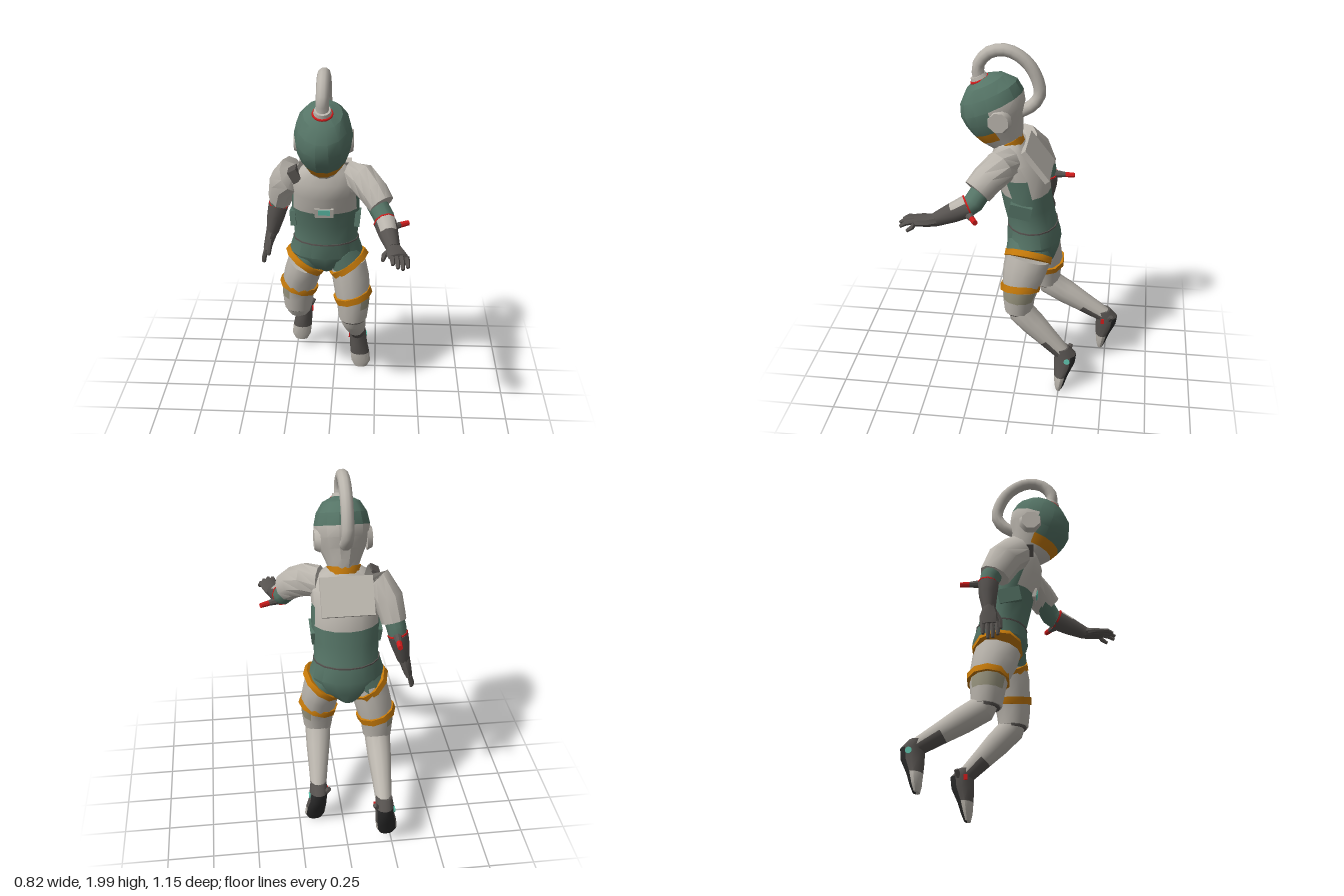
import * as THREE from 'three';
import { toCreasedNormals } from 'three/addons/utils/BufferGeometryUtils.js';

const V = (x, y, z) => new THREE.Vector3(x, y, z);

export function createModel() {
  const root = new THREE.Group();
  const mat = (name, color) => {
    const m = new THREE.MeshStandardMaterial({ color });
    m.name = name;
    return m;
  };
  const light = mat('lightGrey', 0xbab5ad), green = mat('green', 0x557466), dark = mat('darkGrey', 0x575350),
    orange = mat('orange', 0xc67a0a), red = mat('red', 0xd01c1c), teal = mat('teal', 0x62c8b2),
    black = mat('soleBlack', 0x2a2a2a), khaki = mat('khaki', 0x99957f);

  const add = (name, geo, m, parent = root) => {
    const mesh = new THREE.Mesh(geo, m);
    mesh.name = name;
    parent.add(mesh);
    return mesh;
  };

  // Skin through rings [x, y, z, halfWidth, halfDepth]; pick(span, angle) chooses the colour index
  function loft(name, rings, mats, { seg = 12, dir = null, pick = () => 0, crease = 0.7, parent = root } = {}) {
    const list = Array.isArray(mats) ? mats : [mats];
    const pos = [], faces = list.map(() => []), n = rings.length;
    const c = rings.map(r => V(r[0], r[1], r[2]));
    rings.forEach((r, i) => {
      const t = dir ? dir.clone().normalize()
        : c[Math.min(n - 1, i + 1)].clone().sub(c[Math.max(0, i - 1)]).normalize();
      const ref = Math.abs(t.x) > 0.9 ? V(0, 0, 1) : V(1, 0, 0);
      const u = ref.addScaledVector(t, -ref.dot(t)).normalize();
      const v = t.clone().cross(u);
      for (let j = 0; j < seg; j++) {
        const a = j / seg * Math.PI * 2;
        const p = c[i].clone().addScaledVector(u, Math.cos(a) * r[3]).addScaledVector(v, Math.sin(a) * (r[4] ?? r[3]));
        pos.push(p.x, p.y, p.z);
      }
    });
    for (let i = 0; i < n - 1; i++) for (let j = 0; j < seg; j++) {
      const k = (j + 1) % seg, a = i * seg + j, b = i * seg + k;
      faces[pick(i, (j + 0.5) / seg * Math.PI * 2)].push(a, b, b + seg, a, b + seg, a + seg);
    }
    // End caps
    pos.push(...c[0].toArray(), ...c[n - 1].toArray());
    for (let j = 0; j < seg; j++) {
      const k = (j + 1) % seg, e = (n - 1) * seg;
      faces[pick(0, (j + 0.5) / seg * Math.PI * 2)].push(n * seg, k, j);
      faces[pick(n - 2, (j + 0.5) / seg * Math.PI * 2)].push(n * seg + 1, e + j, e + k);
    }
    const g = new THREE.BufferGeometry();
    g.setAttribute('position', new THREE.Float32BufferAttribute(pos, 3));
    g.setIndex(faces.flat());
    let start = 0;
    faces.forEach((f, i) => { g.addGroup(start, f.length, i); start += f.length; });
    return add(name, toCreasedNormals(g, crease), list, parent);
  }
  const box = (name, w, h, d, x, y, z, m, rx = 0, ry = 0, rz = 0, parent = root) => {
    const b = add(name, new THREE.BoxGeometry(w, h, d), m, parent);
    b.position.set(x, y, z);
    b.rotation.set(rx, ry, rz);
    return b;
  };

  // Torso: green suit with light chest and back armour
  loft('torso', [
    [-.04, .77, -.13, .05, .06], [-.04, .84, -.095, .16, .12], [-.04, .92, -.078, .205, .152],
    [-.04, 1.02, -.068, .175, .134], [-.04, 1.12, -.045, .18, .135], [-.04, 1.21, -.03, .185, .138],
    [-.04, 1.31, 0, .18, .15], [-.04, 1.39, .03, .185, .125], [-.04, 1.45, .05, .14, .085], [-.04, 1.49, .06, .075, .065],
  ], [green, light], {
    seg: 16, dir: V(0, 1, 0),
    pick: (i, a) => (i > 5 || (i === 5 && Math.abs(Math.sin(a)) > .5)) ? 1 : 0,
  });
  box('backPlate', .28, .21, .03, -.04, 1.385, -.095, light, .66);
  box('buckle', .1, .055, .03, -.04, 1.225, .108, light, .2);
  box('buckleLight', .065, .03, .008, -.04, 1.228, .125, teal, .2);
  for (const s of [-1, 1]) {
    box('shoulderStrap', .05, .07, .08, -.04 + s * .155, 1.425, .07, dark, 0, 0, -s * .5);
    box('sidePocket', .03, .08, .12, -.04 + s * .175, 1.14, -.02, green, -.2, 0, -s * .1);
  }
  loft('belt', [[-.04, 1.0, -.07, .183, .141], [-.04, 1.008, -.07, .183, .141]], dark, { seg: 16, dir: V(0, 1, 0) });

  // Head, bowed forward; local y is the neck axis, local z the face
  const head = new THREE.Group();
  head.name = 'head';
  head.position.set(-.04, 1.475, .06);
  head.rotation.x = .43;
  root.add(head);
  loft('helmet', [
    [0, 0, .01, .08, .09], [0, .05, .015, .1, .122], [0, .105, .015, .125, .145], [0, .165, .002, .145, .172],
    [0, .225, -.005, .15, .182], [0, .29, -.015, .135, .165], [0, .345, -.02, .1, .11], [0, .372, -.02, .045, .05],
  ], [green, light, orange], {
    seg: 14, dir: V(0, 1, 0), crease: .45, parent: head,
    pick: (i, a) => {
      const front = -Math.sin(a);
      if (i > 3) return 0;
      if (i === 1) return front > .2 ? 2 : 1;
      return i > 1 && front > .15 ? 0 : 1;
    },
  });
  loft('neckRing', [[0, -.03, 0, .088, .078], [0, .012, 0, .092, .082]], orange, { dir: V(0, 1, 0), parent: head });
  for (const s of [-1, 1]) {
    const ear = add('earPad', new THREE.CylinderGeometry(.055, .07, .03, 8), light, head);
    ear.position.set(s * .137, .155, -.03);
    ear.rotation.z = -s * Math.PI / 2;
  }
  const collar = add('hoseCollar', new THREE.CylinderGeometry(.042, .05, .03, 12), light, head);
  collar.position.set(0, .375, 0);
  const seal = add('hoseSeal', new THREE.TorusGeometry(.048, .007, 6, 16), red, head);
  seal.position.set(0, .366, 0);
  seal.rotation.x = Math.PI / 2;

  // Breathing hose arching from crown to nape
  const hose = new THREE.CatmullRomCurve3([
    [.215, 1.81], [.22, 1.88], [.165, 1.95], [.07, 1.967], [-.025, 1.915], [-.082, 1.83], [-.1, 1.735], [-.06, 1.675], [.02, 1.63],
  ].map(([z, y]) => V(-.04, y, z)));
  add('hose', new THREE.TubeGeometry(hose, 18, .033, 10), light);

  // Left arm, reaching forward
  loft('leftSleeve', [[.09, 1.41, .045, .07, .085], [.16, 1.405, .08, .085, .09], [.22, 1.36, .14, .08, .085],
    [.262, 1.31, .185, .07, .08]], light, { seg: 10 });
  loft('leftUpperArm', [[.2, 1.36, .13, .055], [.275, 1.25, .205, .055], [.29, 1.22, .25, .052]], green, { seg: 10 });
  loft('leftCuff', [[.279, 1.235, .232, .06], [.282, 1.232, .24, .06]], red, { seg: 10 });
  loft('leftGlove', [[.281, 1.233, .235, .06], [.3, 1.2, .31, .052], [.325, 1.165, .4, .036]], [dark, light], {
    seg: 10, pick: (i, a) => i === 0 && Math.sin(a) > .75 ? 1 : 0,
  });
  loft('leftPalm', [[.325, 1.165, .39, .036, .034], [.335, 1.165, .44, .05, .028], [.35, 1.17, .505, .052, .022]], dark, { seg: 8 });
  for (let i = 0; i < 4; i++) {
    const x = .313 + i * .025, far = [.565, .58, .575, .535][i];
    loft('leftFinger', [[x, 1.17, .495, .014], [x + .006, 1.175 - i * .008, far - .03, .013], [x + .008, 1.16 - i * .01, far, .009]], dark, { seg: 6 });
  }
  loft('leftThumb', [[.31, 1.165, .42, .018], [.28, 1.16, .46, .015], [.272, 1.155, .51, .01]], dark, { seg: 6 });

  // Right arm, hanging slightly back
  loft('rightSleeve', [[-.15, 1.41, .035, .07, .085], [-.215, 1.4, .01, .09, .1], [-.265, 1.33, -.045, .082, .1],
    [-.292, 1.22, -.095, .068, .085]], light, { seg: 10 });
  loft('rightUpperArm', [[-.27, 1.3, -.07, .055], [-.3, 1.2, -.12, .054], [-.312, 1.14, -.13, .05]], green, { seg: 10 });
  loft('rightCuff', [[-.307, 1.165, -.128, .056], [-.309, 1.157, -.129, .056]], red, { seg: 10 });
  loft('rightGlove', [[-.308, 1.16, -.128, .056], [-.325, 1.09, -.128, .05], [-.347, .99, -.12, .034]], dark, { seg: 10 });
  loft('rightPalm', [[-.347, 1, -.12, .034, .034], [-.362, .95, -.117, .028, .05], [-.378, .89, -.113, .022, .05]], dark, { seg: 8 });
  for (let i = 0; i < 4; i++) {
    const z = -.151 + i * .025, y = [.83, .805, .81, .825][i];
    loft('rightFinger', [[-.377, .9, z, .014], [-.394, .85, z + .004, .013], [-.397, y, z + .006, .009]], dark, { seg: 6 });
  }
  loft('rightThumb', [[-.358, .96, -.085, .018], [-.36, .92, -.062, .015], [-.365, .875, -.058, .01]], dark, { seg: 6 });
  box('shoulderMark', .03, .04, .008, -.262, 1.365, .052, teal, -.5, -.3, 0);

  // Elbow spikes with red tips
  function spike(name, a, b) {
    const at = k => a.clone().lerp(b, k).toArray();
    loft(name + 'Base', [[...at(0), .026], [...at(.62), .015]], dark, { seg: 8 });
    loft(name + 'Tip', [[...at(.6), .016], [...at(1), .014]], red, { seg: 8 });
  }
  spike('leftSpike', V(.295, 1.2, .235), V(.405, 1.205, .175));
  spike('rightSpike', V(-.302, 1.165, -.15), V(-.296, 1.165, -.278));

  // Legs: thigh centres from hip to knee, then ankle
  const legs = [
    { name: 'left', s: 1, thigh: [[.085, .84, -.06], [.1, .76, -.04], [.113, .66, -.02], [.115, .59, -.01], [.115, .51, -.01]], ankle: [.14, .25, -.265] },
    { name: 'right', s: -1, thigh: [[-.155, .84, -.085], [-.175, .76, -.1], [-.2, .66, -.128], [-.208, .59, -.13], [-.21, .51, -.135]], ankle: [-.2, .3, -.485] },
  ];
  for (const { name, s, thigh, ankle } of legs) {
    const g = new THREE.Group();
    g.name = name + 'Leg';
    root.add(g);
    const o = { parent: g, seg: 12 };
    const sizes = [[.1, .125], [.104, .12], [.099, .102], [.09, .09], [.08, .08]];
    const tilt = V(-s * .6, .8, -.12), [h, , mid, , knee] = thigh;
    loft('thighArmour', thigh.map((p, i) => [...p, ...sizes[i]]), [light, khaki], {
      ...o, pick: (i, a) => i >= 2 && i < 3 && s * Math.cos(a) > .5 ? 1 : 0,
    });
    loft('hip', [[h[0] - s * .03, h[1] + .07, h[2], .09, .12], [h[0], h[1], h[2], .108, .126]], green, { ...o, dir: tilt.clone().negate() });
    // Slanted straps
    const strap = (p, d, w, z, t) => loft('strap', [-1, 1].map(k => {
      const q = V(...p).addScaledVector(d.clone().normalize(), k * t / 2);
      return [q.x, q.y, q.z, w, z];
    }), orange, { ...o, seg: 10, dir: d });
    strap([h[0] + s * .003, h[1], h[2]], tilt, .125, .136, .034);
    strap([mid[0], mid[1], mid[2]], V(-s * .3, .95, 0), .111, .113, .038);

    // Shin and dark knee gap
    const K = V(...knee), A = V(...ankle), at = k => K.clone().lerp(A, k).toArray();
    loft('kneeGap', [[knee[0], knee[1] + .01, knee[2], .074], [knee[0], knee[1] - .012, knee[2], .07]], dark, { ...o, dir: V(0, -1, 0) });
    loft('shin', [[K.x, K.y + .05, K.z + .01, .065], [...at(.06), .072, .074], [...at(.35), .066, .07], [...at(.65), .055, .058],
      [...at(1), .044, .046]], [light, dark], { ...o, pick: (i, a) => i === 3 && Math.sin(a) > .2 ? 1 : 0 });

    // Boot pointing downwards, black sole at the back, light toe
    const [x, y, z] = ankle;
    loft('boot', [[x, y + .035, z + .005, .045, .042], [x, y - .01, z - .018, .052, .062], [x + s * .005, y - .07, z - .013, .052, .06],
      [x + s * .015, y - .14, z + .002, .058, .042], [x + s * .022, y - .2, z + .01, .058, .03], [x + s * .022, y - .237, z + .014, .038, .018]],
    [dark, light, black], {
      ...o, dir: V(0, -1, -.05),
      pick: (i, a) => Math.sin(a) < -.55 && i > 0 ? 2 : i >= 3 ? 1 : 0,
    });
    const disc = add('ankleLight', new THREE.CylinderGeometry(.017, .017, .008, 10), teal, g);
    disc.position.set(x + s * .053, y - .03, z - .03);
    disc.rotation.z = Math.PI / 2;
    loft('ankleKnob', [[x - s * .03, y - .02, z - .03, .018], [x - s * .058, y + .02, z - .045, .012]], dark, { ...o, seg: 8 });
    box('ankleTab', .008, .03, .02, x - s * .05, y - .02, z + .005, red, 0, 0, 0, g);
  }
  return root;
}
